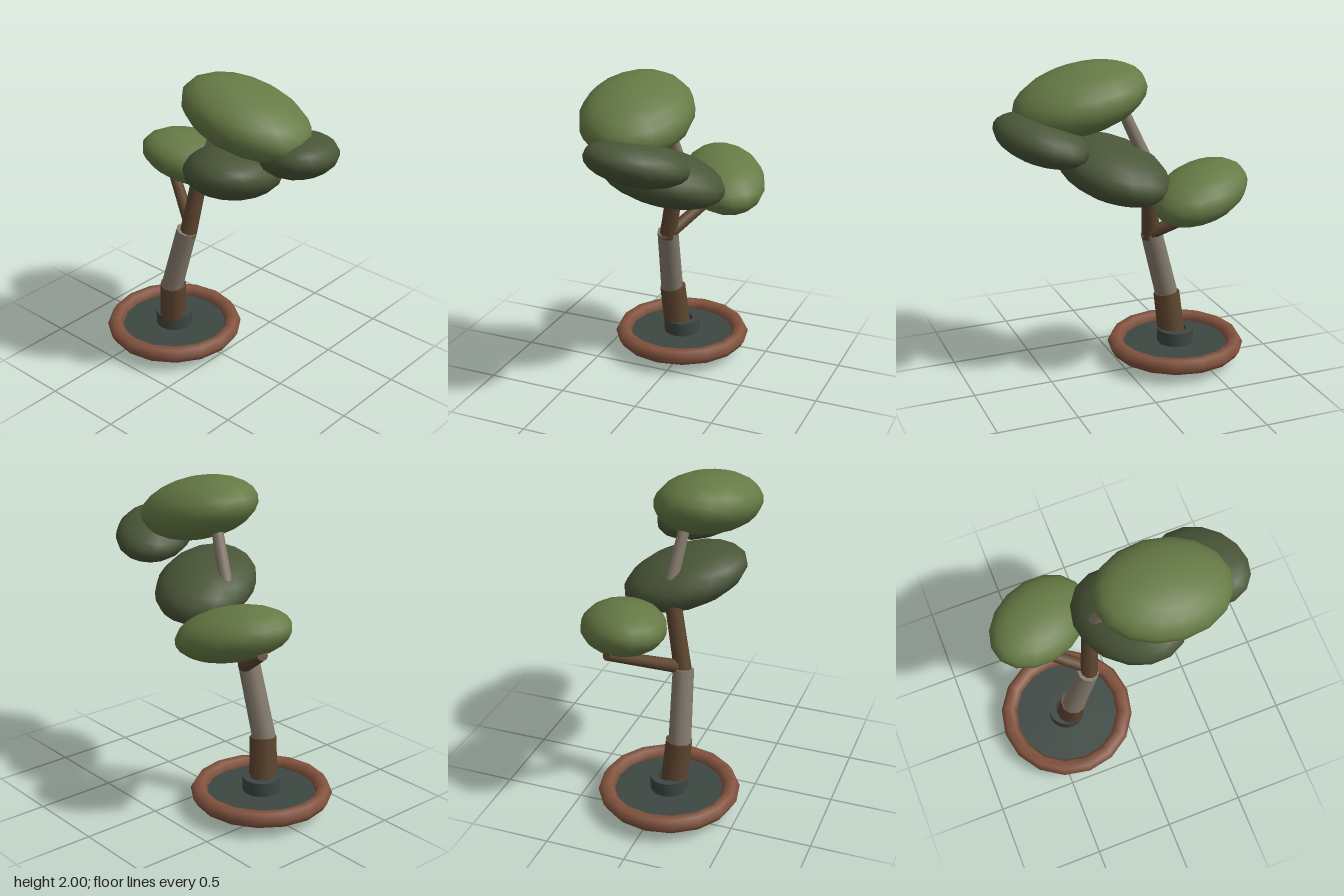
import * as THREE from 'three';
import { toCreasedNormals } from 'three/addons/utils/BufferGeometryUtils.js';

const mat = (name, color) => new THREE.MeshStandardMaterial({ name, color });

export function createModel() {
  const model = new THREE.Group();
  model.name = 'bonsaiTree';
  const leafLight = mat('light leaf green', 0x667a45);
  const leafDark = mat('dark leaf green', 0x4a5638);
  const bark = mat('brown bark', 0x5e4630);
  const paleBark = mat('pale bark', 0x857b6d);
  const clay = mat('terracotta', 0x84543f);
  const soilMat = mat('dark soil', 0x3d4742);

  const add = (name, geometry, material, x = 0, y = 0, z = 0) => {
    const mesh = new THREE.Mesh(geometry, material);
    mesh.name = name;
    mesh.position.set(x, y, z);
    model.add(mesh);
    return mesh;
  };

  // Straight limb between two points
  const limb = (name, material, from, to, r0, r1) => {
    const a = new THREE.Vector3(...from), b = new THREE.Vector3(...to);
    const dir = b.clone().sub(a);
    const mesh = add(name, new THREE.CylinderGeometry(r1, r0, dir.length(), 10), material);
    mesh.position.copy(a).add(b).multiplyScalar(0.5);
    mesh.quaternion.setFromUnitVectors(new THREE.Vector3(0, 1, 0), dir.normalize());
  };

  // Leaning ellipsoid: half extents along x, y, z and how far each pair of axes leans together
  const foliage = (name, material, centre, [hx, hy, hz], [xy, xz, yz]) => {
    const l22 = Math.sqrt(1 - xy * xy);
    const l32 = (yz - xz * xy) / l22;
    const l33 = Math.sqrt(1 - xz * xz - l32 * l32);
    const lean = new THREE.Matrix4().set(
      hx, 0, 0, 0,
      hy * xy, hy * l22, 0, 0,
      hz * xz, hz * l32, hz * l33, 0,
      0, 0, 0, 1);
    const geometry = new THREE.SphereGeometry(1.01, 16, 12).applyMatrix4(lean);
    add(name, geometry, material, ...centre);
  };

  // Shallow dish: rim, soil and collar round the trunk
  const px = -0.37, pz = 0.05;
  const rim = new THREE.TorusGeometry(0.389, 0.052, 6, 16).rotateX(Math.PI / 2);
  add('dishRim', rim, clay, px, 0.115, pz);
  const ring = (points, segments) => toCreasedNormals(new THREE.LatheGeometry(
    points.map(([r, y]) => new THREE.Vector2(r, y)), segments), 0.5);
  add('soil', ring([[0.1, 0.12], [0.1, 0.025], [0.28, 0.03], [0.36, 0.06],
    [0.355, 0.115], [0.1, 0.122]], 24), soilMat, px, 0, pz);
  add('trunkCollar', ring([[0.07, 0.05], [0.117, 0.06], [0.117, 0.21], [0.07, 0.21], [0.07, 0.05]], 16),
    soilMat, px, 0, pz);

  // Trunk sections and branches
  limb('lowerTrunk', bark, [-0.37, 0.012, 0.065], [-0.327, 0.45, 0.1], 0.089, 0.084);
  limb('middleTrunk', paleBark, [-0.332, 0.43, 0.106], [-0.21, 0.885, 0.085], 0.073, 0.068);
  limb('upperTrunk', bark, [-0.205, 0.85, 0.083], [-0.15, 1.38, -0.015], 0.056, 0.05);
  limb('sideBranch', bark, [-0.2, 0.89, 0.055], [-0.66, 1.16, -0.22], 0.042, 0.032);
  limb('topBranch', paleBark, [-0.15, 1.34, -0.035], [0.04, 1.78, 0.02], 0.042, 0.034);

  // Foliage clumps
  foliage('topFoliage', leafLight, [0.26, 1.793, 0.075], [0.412, 0.207, 0.32], [-0.35, 0, 0.12]);
  foliage('sideFoliage', leafLight, [-0.405, 1.22, -0.218], [0.325, 0.17, 0.282], [-0.33, -0.28, 0.22]);
  foliage('middleFoliage', leafDark, [0.09, 1.362, -0.01], [0.32, 0.188, 0.36], [0.28, 0.2, 0.4]);
  foliage('outerFoliage', leafDark, [0.55, 1.6, -0.05], [0.258, 0.148, 0.283], [0.35, 0.25, 0.3]);

  return model;
}
